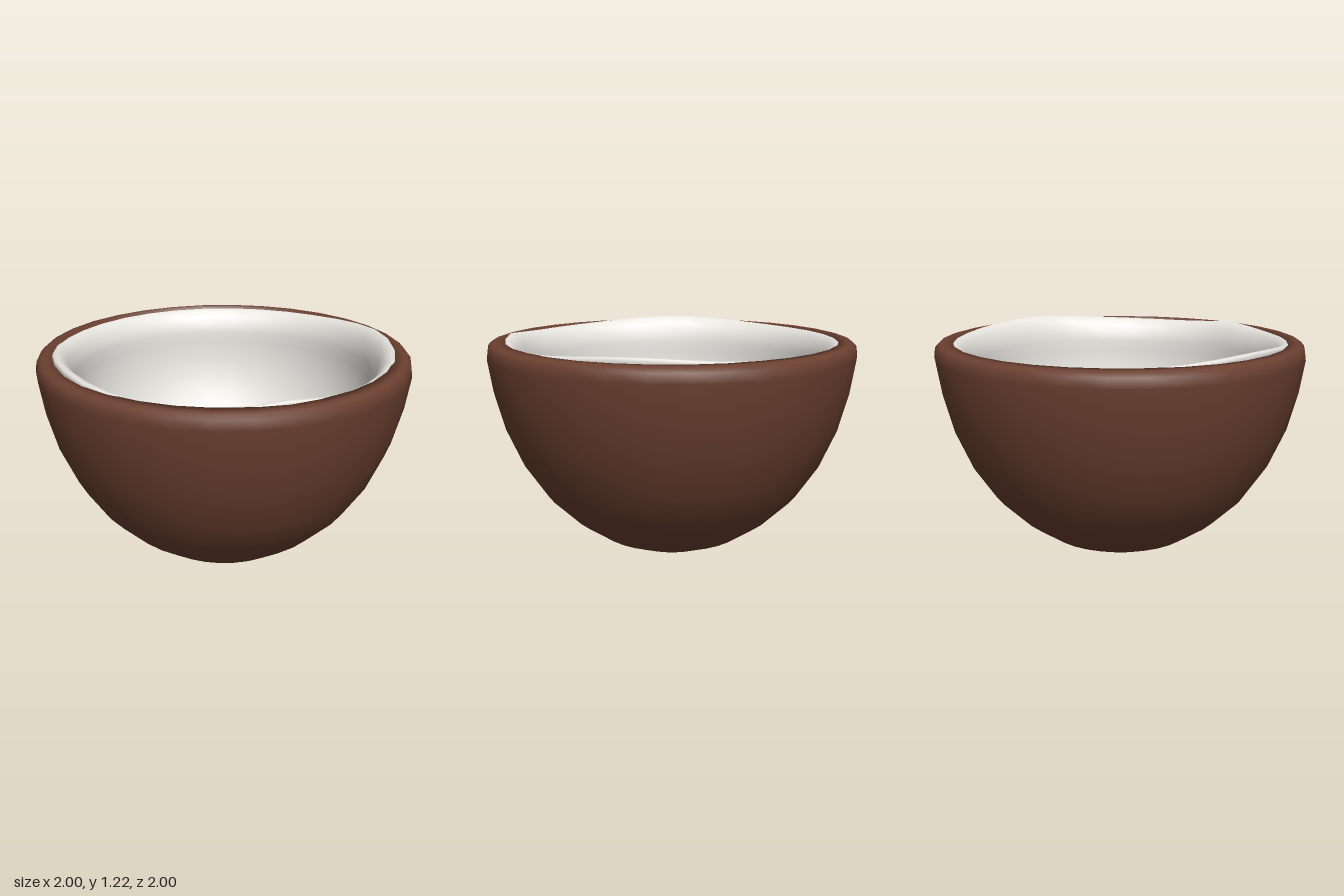
import * as THREE from 'three';
import { mergeVertices } from 'three/addons/utils/BufferGeometryUtils.js';

const SEGMENTS = 32;

function lathe(profile) {
  return new THREE.LatheGeometry(profile.map(([r, y]) => new THREE.Vector2(r, y)), SEGMENTS);
}

// Weld the seam so the shading runs smoothly all round
function weld(geometry) {
  geometry.deleteAttribute('uv');
  geometry.deleteAttribute('normal');
  const welded = mergeVertices(geometry, 1e-4);
  welded.computeVertexNormals();
  return welded;
}

// Uneven lip height: swells at both sides and the front, low elsewhere
function lipWave(x, z) {
  const angle = Math.atan2(x, z);
  const swell = (centre, width) => Math.exp(-(((Math.abs(angle) - centre) / width) ** 2));
  return 0.035 * swell(1.48, 0.48) + 0.023 * swell(0, 0.2);
}

export function createModel() {
  const group = new THREE.Group();

  // Outer husk with a softly rounded flat rim
  const shell = new THREE.Mesh(
    weld(lathe([
      [0, 0], [0.24, 0.045], [0.4, 0.11], [0.555, 0.214], [0.705, 0.358], [0.825, 0.535],
      [0.917, 0.743], [0.972, 0.947], [1, 1.12], [0.993, 1.17], [0.975, 1.19],
      [0.95, 1.197], [0.9, 1.197], [0.89, 1.12],
    ])),
    new THREE.MeshStandardMaterial({ color: 0x6b4030 })
  );
  shell.name = 'shell';
  group.add(shell);

  // Pale lining: rounded lip rolling over into a deep bowl
  const lining = [
    [0.9, 1.12], [0.912, 1.17], [0.905, 1.187], [0.89, 1.19], [0.865, 1.178],
    [0.84, 1.15], [0.82, 1.11], [0.808, 1.06], [0.81, 1.0],
  ];
  const steps = 12;
  for (let i = 1; i <= steps; i++) {
    const a = (i / steps) * Math.PI / 2;
    lining.push([i === steps ? 0 : 0.81 * Math.cos(a), 1.0 - 0.8 * Math.sin(a)]);
  }
  const liningGeometry = lathe(lining);
  const position = liningGeometry.attributes.position;
  for (let i = 0; i < position.count; i++) {
    const y = position.getY(i);
    const weight = THREE.MathUtils.smoothstep(y, 1.0, 1.18);
    position.setY(i, y + weight * lipWave(position.getX(i), position.getZ(i)));
  }
  const flesh = new THREE.Mesh(
    weld(liningGeometry),
    new THREE.MeshStandardMaterial({ color: 0xe8e5e0 })
  );
  flesh.name = 'innerFlesh';
  group.add(flesh);

  return group;
}
